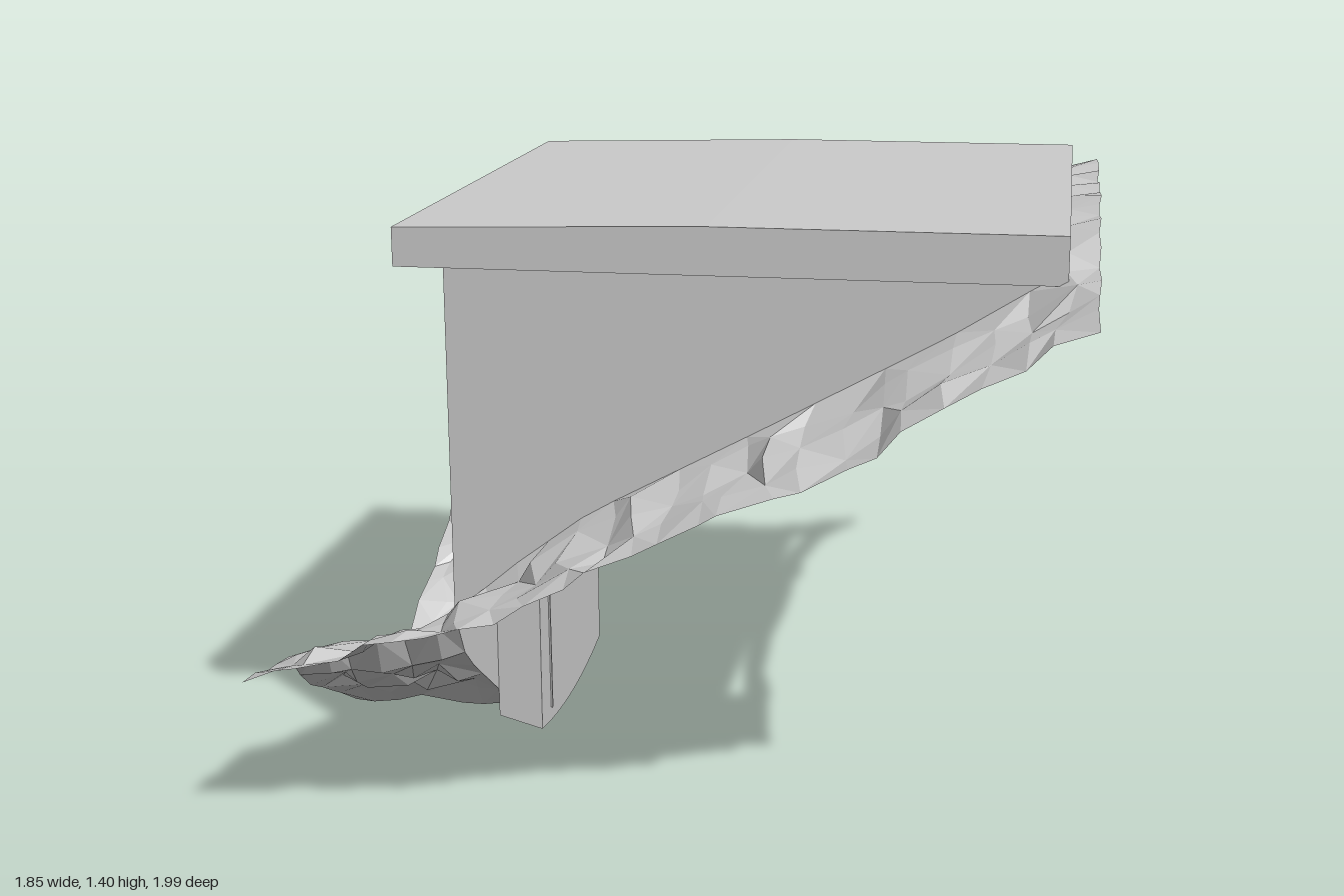
import * as THREE from 'three';

// Main plan dimensions: building walls, roof and door niche
const WALL = { x0: -0.52, x1: 0.845, z0: -0.69, z1: 0.705 };
const ROOF = { x0: -0.62, x1: 0.85, z0: -0.725, z1: 0.755 };
const DOOR = { x: -0.41, z: 0.34, top: 1.145 };
const EAVES = 1.283;

let seed = 7;
const rand = () => {
  seed = (seed * 16807) % 2147483647;
  return (seed / 2147483647) * 2 - 1;
};

const steps = (a, b, n) => Array.from({ length: n + 1 }, (_, i) => a + ((b - a) * i) / n);

// Piecewise linear lookup in a list of [key, value] pairs
function lookup(table, k) {
  if (k <= table[0][0]) return table[0][1];
  for (let i = 1; i < table.length; i++) {
    const [a, va] = table[i - 1], [b, vb] = table[i];
    if (k <= b) return va + ((vb - va) * (k - a)) / (b - a);
  }
  return table[table.length - 1][1];
}

// Slope beside the walls, slope along the outer border, and valley cross-section
const BESIDE = [[-0.93, 0.33], [-0.52, 0.46], [-0.4, 0.57], [-0.2, 0.72], [0.2, 0.935], [0.6, 1.155], [0.84, 1.305], [0.92, 1.315]];
const BORDER = [[-0.93, 0.38], [-0.6, 0.49], [-0.4, 0.53], [0, 0.745], [0.4, 0.925], [0.92, 1.25]];
const VALLEY = [[0, 0], [0.28, 0.08], [0.34, 0.24], [0.5, 0.49], [0.6, 0.65], [0.66, 0.8], [0.7, 1]];

function groundHeight(x, z) {
  const inner = z > 0 ? WALL.z1 : -WALL.z0;
  const d = Math.abs(z);
  const side = lookup(BESIDE, x);
  if (d >= inner) {
    const drop = z < 0 ? 0.06 * THREE.MathUtils.clamp(x / 0.9, 0, 1) : 0;
    return THREE.MathUtils.lerp(side, lookup(BORDER, x) - drop, Math.min(1, (d - inner) / 0.285));
  }
  if (x > 0) return side + 0.08 * (1 - (d / inner) ** 4);
  return 0.03 + (side - 0.03) * lookup(VALLEY, (d * 0.7) / inner);
}

function geometryFrom(triangles) {
  const g = new THREE.BufferGeometry();
  g.setAttribute('position', new THREE.Float32BufferAttribute(triangles.flat(), 3));
  g.computeVertexNormals();
  return g;
}

// Surface between two polylines of equal length
function strip(a, b) {
  const t = [];
  for (let i = 0; i < a.length - 1; i++) t.push(a[i], b[i], b[i + 1], a[i], b[i + 1], a[i + 1]);
  return geometryFrom(t);
}

// Rough ground: a jittered grid with an opening under the building
function groundGeometry() {
  const xs = [...steps(-0.93, WALL.x0, 6), ...steps(WALL.x0, WALL.x1, 18).slice(1), 0.915];
  const zs = [
    ...steps(-0.975, WALL.z0, 4),
    ...steps(WALL.z0, -DOOR.z, 5).slice(1),
    ...steps(-DOOR.z, DOOR.z, 8).slice(1),
    ...steps(DOOR.z, WALL.z1, 5).slice(1),
    ...steps(WALL.z1, 0.988, 4).slice(1),
  ];
  const inside = (x, z, e) => x > WALL.x0 - e && x < WALL.x1 + e && z > WALL.z0 - e && z < WALL.z1 + e;
  const points = xs.map((x, i) => zs.map((z, j) => {
    const y = groundHeight(x, z);
    const shift = [rand(), rand(), rand()];
    if (inside(x, z, 0.001)) return [x, y, z];
    const onX = i === 0 || i === xs.length - 1;
    const onZ = j === 0 || j === zs.length - 1;
    return [
      x + shift[0] * (onX ? 0.004 : 0.025),
      Math.max(0.01, y + shift[1] * (onX || onZ ? 0.012 : 0.02)),
      z + shift[2] * (onZ ? 0.005 : 0.025),
    ];
  }));
  // One stray point juts out of the border
  points[xs.findIndex((x) => x > -0.15)][0][2] = -1;

  const t = [];
  for (let i = 0; i < xs.length - 1; i++) {
    for (let j = 0; j < zs.length - 1; j++) {
      if (inside((xs[i] + xs[i + 1]) / 2, (zs[j] + zs[j + 1]) / 2, 0)) continue;
      const a = points[i][j], b = points[i][j + 1], c = points[i + 1][j + 1], d = points[i + 1][j];
      if ((i + j) % 2) t.push(a, b, c, a, c, d);
      else t.push(a, b, d, b, c, d);
    }
  }
  return geometryFrom(t);
}

export function createModel() {
  const model = new THREE.Group();
  model.name = 'hillsideShelter';
  const stone = new THREE.MeshStandardMaterial({ color: 0xcccccc, side: THREE.DoubleSide, flatShading: true });
  stone.name = 'pale grey stone';

  const group = (name) => {
    const g = new THREE.Group();
    g.name = name;
    model.add(g);
    return g;
  };
  const add = (name, geometry, parent = model) => {
    const mesh = new THREE.Mesh(geometry, stone);
    mesh.name = name;
    parent.add(mesh);
    return mesh;
  };

  add('ground', groundGeometry());

  // Side walls, tapering to nothing up the slope
  const walls = group('walls');
  const wallX = steps(WALL.x0, WALL.x1, 18);
  for (const [name, z] of [['frontWall', WALL.z1], ['rearWall', WALL.z0]]) {
    add(name,
      strip(wallX.map((x) => [x, Math.max(EAVES, groundHeight(x, z)), z]), wallX.map((x) => [x, groundHeight(x, z), z])),
      walls);
  }

  // Entrance wall either side of the door niche, and the lintel
  for (const zWall of [WALL.z0, WALL.z1]) {
    const zs = steps(zWall, Math.sign(zWall) * DOOR.z, 5);
    add('entranceWall',
      strip(zs.map((z) => [WALL.x0, EAVES, z]), zs.map((z) => [WALL.x0, groundHeight(WALL.x0, z), z])),
      walls);
  }
  const across = [-DOOR.z, DOOR.z];
  const line = (x, y) => across.map((z) => [x, y, z]);
  add('lintel', strip(line(WALL.x0, EAVES), line(WALL.x0, DOOR.top)), walls);

  // Recessed doorway
  const doorway = group('doorway');
  for (const z of across) {
    add('reveal', strip(
      [[WALL.x0, DOOR.top, z], [DOOR.x, DOOR.top, z]],
      [[WALL.x0, 0.06, z], [DOOR.x, 0.03, z]]), doorway);
  }
  add('revealTop', strip(line(WALL.x0, DOOR.top), line(DOOR.x, DOOR.top)), doorway);
  const floorZ = steps(-DOOR.z, DOOR.z, 8);
  const doorFoot = floorZ.map((z) => [DOOR.x, 0.03 * (z / DOOR.z) ** 2, z]);
  add('door', strip(floorZ.map((z) => [DOOR.x, DOOR.top, z]), doorFoot), doorway);
  add('threshold', strip(floorZ.map((z) => [WALL.x0, groundHeight(WALL.x0, z), z]), doorFoot), doorway);

  // Door edge seam and handle
  const seam = add('doorSeam', new THREE.BoxGeometry(0.008, 1.0, 0.008), doorway);
  seam.position.set(DOOR.x, 0.55, 0.252);
  seam.rotation.x = 0.022;
  const handle = add('doorHandle', new THREE.BoxGeometry(0.03, 0.035, 0.016), doorway);
  handle.position.set(DOOR.x, 0.68, 0.26);

  // Roof slab: sloping top, fascias on three sides and a soffit outside the walls
  const roof = group('roof');
  const roofTop = (x) => 1.371 + 0.019 * Math.min(1, (x - ROOF.x0) / 0.7);
  const roofX = [ROOF.x0, 0.08, ROOF.x1];
  add('roofTop', strip(
    roofX.map((x) => [x, roofTop(x), ROOF.z0]),
    roofX.map((x) => [x, roofTop(x), ROOF.z1])), roof);
  for (const [zEdge, zWall] of [[ROOF.z0, WALL.z0], [ROOF.z1, WALL.z1]]) {
    const low = roofX.map((x) => [x, EAVES, zEdge]);
    add('sideFascia', strip(roofX.map((x) => [x, roofTop(x), zEdge]), low), roof);
    add('sideSoffit', strip(low, roofX.map((x) => [x, EAVES, zWall])), roof);
  }
  const edge = (x, y) => [[x, y, ROOF.z0], [x, y, ROOF.z1]];
  add('entranceFascia', strip(edge(ROOF.x0, roofTop(ROOF.x0)), edge(ROOF.x0, EAVES)), roof);
  add('entranceSoffit', strip(edge(ROOF.x0, EAVES), edge(WALL.x0, EAVES)), roof);

  return model;
}
